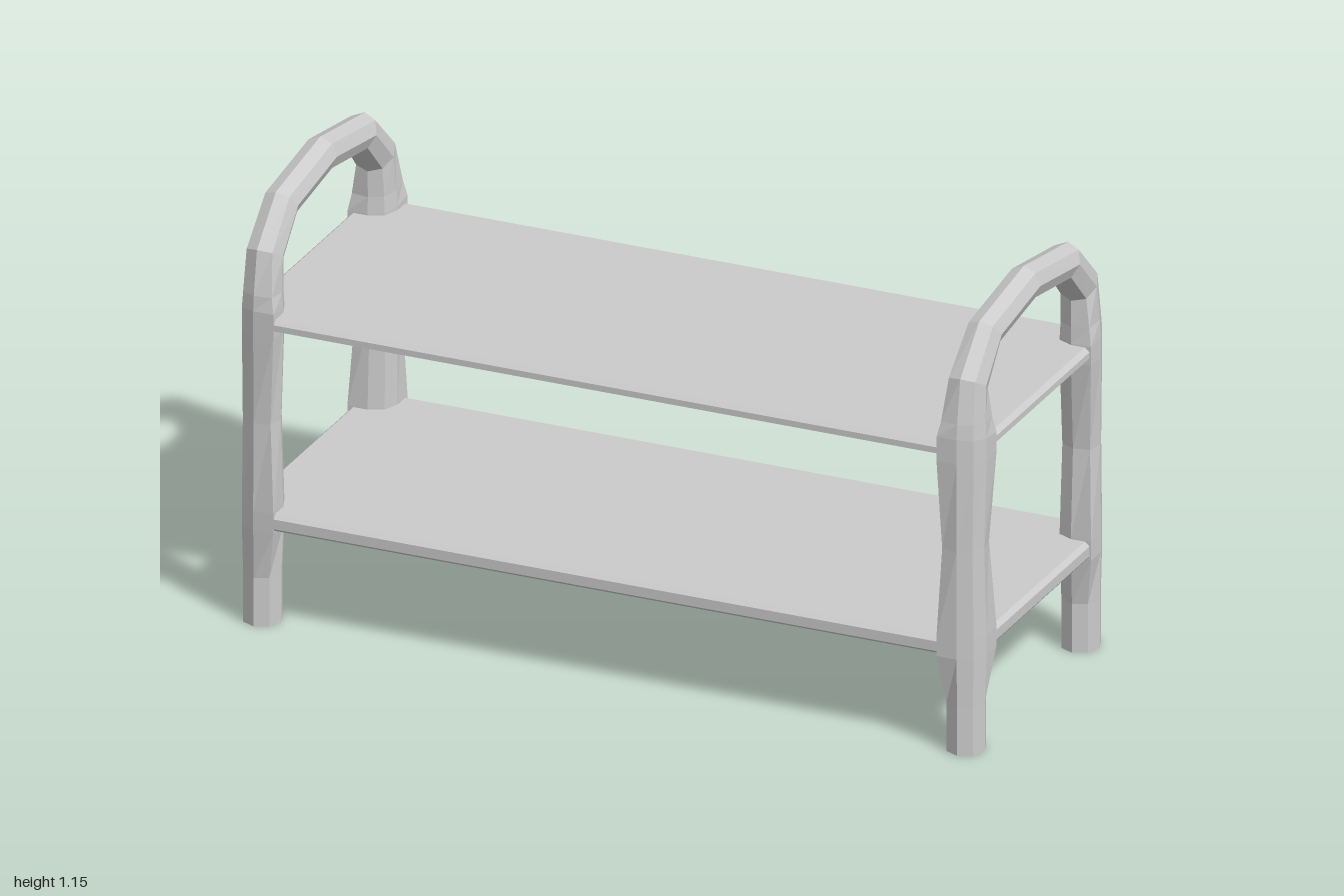
import * as THREE from 'three';

const material = new THREE.MeshStandardMaterial({ color: 0xcccccc, flatShading: true });
const SIDES = 8;

// Stations from foot to crown: inner [z, y], outer [z, y], half width in x, squareness of the swelling corners
const HALF = [
  [[0.286, 0], [0.396, 0], 0.05, 0],
  [[0.286, 0.13], [0.396, 0.13], 0.05, 0],
  [[0.28, 0.258], [0.398, 0.258], 0.054, 1],
  [[0.28, 0.31], [0.398, 0.31], 0.054, 1],
  [[0.292, 0.545], [0.397, 0.545], 0.05, 0.5],
  [[0.28, 0.78], [0.398, 0.78], 0.054, 1],
  [[0.28, 0.83], [0.398, 0.845], 0.054, 1],
  [[0.282, 0.875], [0.395, 0.885], 0.051, 0.65],
  [[0.28, 0.945], [0.376, 1.0], 0.048, 0.15],
  [[0.2, 1.03], [0.264, 1.11], 0.046, 0],
];
const CROWN = [[0, 1.06], [0, 1.152], 0.045, 0];

// Shelf profiles from the underside to the top: [inset from the outline, y]
const LOWER = [[0.024, 0.296], [0.02, 0.265], [0.003, 0.265], [0, 0.27], [0, 0.296], [0.012, 0.307]];
const UPPER = [[0.07, 0.786], [0, 0.8], [0, 0.816], [0.012, 0.827]];

// Skin a stack of eight-point rings and close both ends
function loft(rings) {
  const index = [];
  for (let i = 0; i < rings.length - 1; i++) {
    for (let j = 0; j < SIDES; j++) {
      const n = (j + 1) % SIDES, r = i * SIDES, u = r + SIDES;
      index.push(r + j, r + n, u + n, r + j, u + n, u + j);
    }
  }
  const last = (rings.length - 1) * SIDES;
  for (let j = 1; j < SIDES - 1; j++) {
    index.push(0, j + 1, j, last, last + j, last + j + 1);
  }
  const g = new THREE.BufferGeometry();
  g.setAttribute('position', new THREE.Float32BufferAttribute(rings.flat(2), 3));
  g.setIndex(index);
  const flat = g.toNonIndexed();
  flat.computeVertexNormals();
  return flat;
}

// Bent tube: leg, arch, leg
function frameGeometry() {
  const flip = ([a, b, w, q]) => [[-a[0], a[1]], [-b[0], b[1]], w, q];
  const stations = [...HALF, CROWN, ...HALF.map(flip).reverse()];
  return loft(stations.map(([inner, outer, w, q]) => Array.from({ length: SIDES }, (_, j) => {
    const a = (j / SIDES) * Math.PI * 2;
    // the two corners where the shelf rims run in swell towards a square
    const k = j === 3 || j === 7 ? 1 + q * (Math.SQRT2 - 1) : 1;
    const t = (k * Math.cos(a) + 1) / 2;
    return [
      0.945 + w * k * Math.sin(a),
      THREE.MathUtils.lerp(inner[1], outer[1], t),
      THREE.MathUtils.lerp(inner[0], outer[0], t),
    ];
  })));
}

// Board with clipped corners, its rim shaped by a profile
function shelfGeometry(profile) {
  const c = 0.06;
  return loft(profile.map(([inset, y]) => {
    const X = 0.995 - inset, Z = 0.396 - inset;
    return [
      [X - c, y, Z], [X, y, Z - c], [X, y, c - Z], [X - c, y, -Z],
      [c - X, y, -Z], [-X, y, c - Z], [-X, y, Z - c], [c - X, y, Z],
    ];
  }));
}

export function createModel() {
  const model = new THREE.Group();
  model.name = 'shelfBench';
  const add = (name, geometry) => {
    const mesh = new THREE.Mesh(geometry, material);
    mesh.name = name;
    model.add(mesh);
    return mesh;
  };

  // Arched end frames; each is symmetric in z, so a half turn mirrors it
  const frame = frameGeometry();
  add('leftEndFrame', frame);
  add('rightEndFrame', frame).rotation.y = Math.PI;

  // Shelves: the lower one is hollow beneath, the upper one bellies slightly
  add('lowerShelf', shelfGeometry(LOWER));
  add('upperShelf', shelfGeometry(UPPER));

  return model;
}
